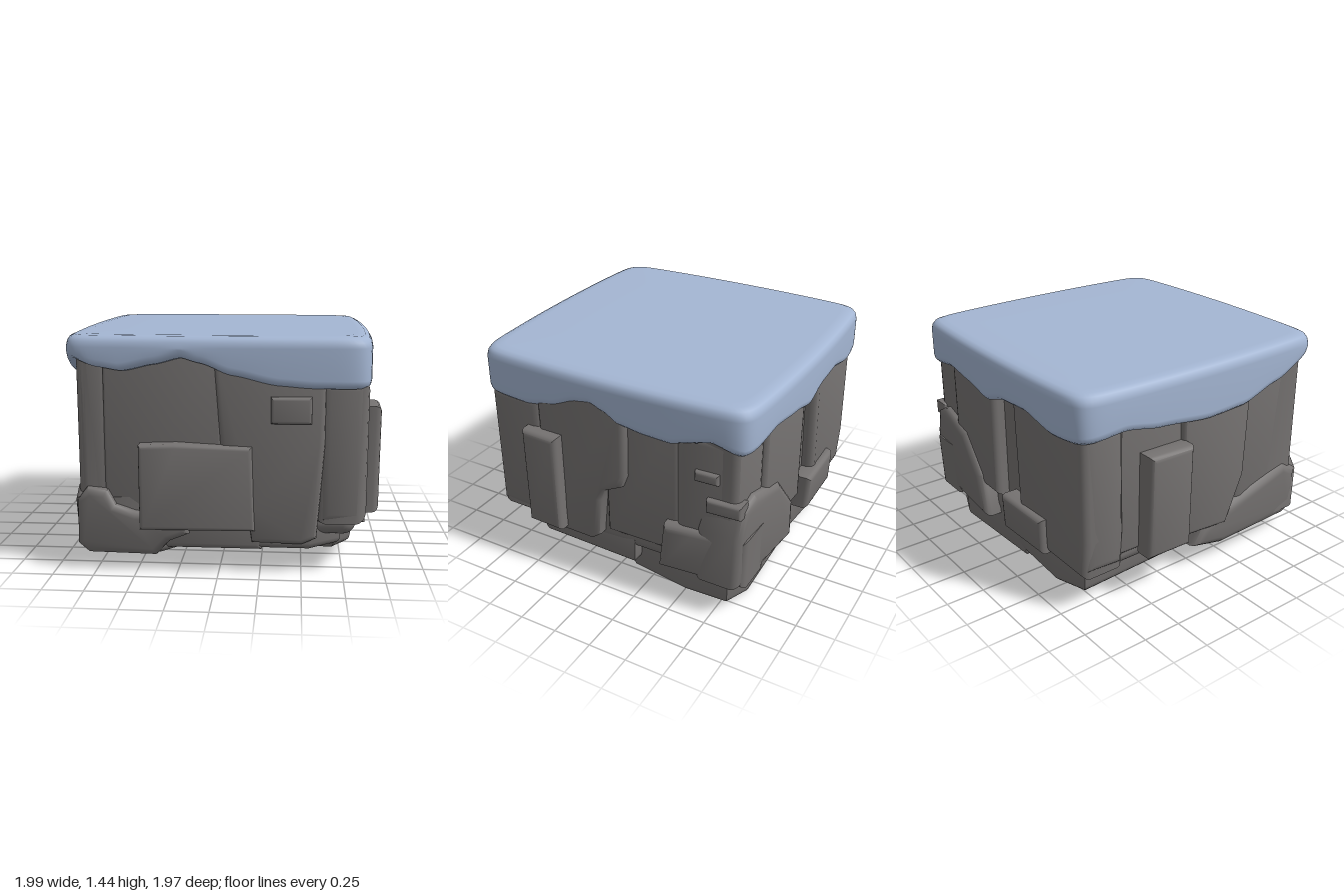
import * as THREE from 'three';
import { toCreasedNormals } from 'three/addons/utils/BufferGeometryUtils.js';
import { RoundedBoxGeometry } from 'three/addons/geometries/RoundedBoxGeometry.js';

const rock = new THREE.MeshStandardMaterial({ color: 0x757271 });
rock.name = 'dark rock';
const snow = new THREE.MeshStandardMaterial({ color: 0xa4b6d3 });
snow.name = 'pale blue snow';

// Each side: turn of the slab and sign of its horizontal axis
const SIDES = {
  front: { rot: [0, 0, 0], sign: 1 },
  right: { rot: [0, Math.PI / 2, 0], sign: -1 },
  back: { rot: [0, Math.PI, 0], sign: -1 },
  left: { rot: [0, -Math.PI / 2, 0], sign: 1 },
  bottom: { rot: [Math.PI / 2, 0, 0], sign: 1 },
};

const rect = (a, b, y0, y1) => [[a, y0], [b, y0], [b, y1], [a, y1]];

// Bevelled stone plate whose outer face lies at distance `outer` from the centre
function slab(name, side, pts, outer, { depth = 0.3, bevel = 0.035, tilt = 0 } = {}) {
  const { rot, sign } = SIDES[side];
  const shape = new THREE.Shape(pts.map(([a, b]) => new THREE.Vector2(a * sign, b)));
  const inner = depth - 2 * bevel;
  let geo = new THREE.ExtrudeGeometry(shape, {
    depth: inner, bevelEnabled: true, bevelSize: bevel, bevelOffset: -bevel,
    bevelThickness: bevel, bevelSegments: 3,
  });
  geo.translate(0, 0, outer - inner - bevel);
  const p = geo.attributes.position;
  // Walls bow gently and draw in towards the foot
  for (let i = 0; i < p.count; i++) {
    const u = p.getX(i), v = p.getY(i);
    const bow = side === 'bottom' ? 0 : 0.04 * u * u + 0.08 * Math.max(0, 0.4 - v);
    p.setZ(i, p.getZ(i) - bow + tilt * u);
  }
  geo = toCreasedNormals(geo, 0.7);
  const mesh = new THREE.Mesh(geo, rock);
  mesh.rotation.set(...rot);
  mesh.name = name;
  return mesh;
}

// Lower rim of the snow: x, z, height, in order around the block
const RIM = [
  [0.93, 0, 1.22], [0.93, 0.1, 1.255], [0.93, 0.2, 1.24], [0.93, 0.4, 1.165], [0.93, 0.6, 1.125],
  [0.9, 0.9, 1.13], [0.6, 0.94, 1.135], [0.4, 0.94, 1.15], [0.1, 0.94, 1.21], [-0.1, 0.94, 1.28],
  [-0.22, 0.94, 1.31], [-0.4, 0.94, 1.27], [-0.6, 0.94, 1.23], [-0.75, 0.94, 1.25], [-0.9, 0.9, 1.3],
  [-0.95, 0.6, 1.18], [-0.95, 0.3, 1.1], [-0.95, 0, 1.09], [-0.95, -0.4, 1.13], [-0.95, -0.65, 1.17],
  [-0.9, -0.9, 1.14], [-0.7, -0.98, 1.13], [-0.4, -0.98, 1.19], [-0.15, -0.98, 1.18], [0.08, -0.98, 1.12],
  [0.3, -0.98, 1.16], [0.6, -0.98, 1.19], [0.9, -0.9, 1.14], [0.93, -0.72, 1.2], [0.93, -0.6, 1.17],
  [0.93, -0.45, 1.13], [0.93, -0.28, 1.14], [0.93, -0.1, 1.165],
].map(([x, z, y]) => [(Math.atan2(z, x) + 2 * Math.PI) % (2 * Math.PI), y]);

function rimHeight(angle) {
  let k = RIM.length - 1;
  while (k > 0 && RIM[k][0] > angle) k--;
  const [a0, y0] = RIM[k];
  const last = k === RIM.length - 1;
  const a1 = last ? 2 * Math.PI : RIM[k + 1][0];
  const y1 = last ? RIM[0][1] : RIM[k + 1][1];
  const t = (angle - a0) / (a1 - a0);
  return y0 + (y1 - y0) * (0.5 * t + 0.5 * t * t * (3 - 2 * t));
}

// Snow cap: bowed square rings from the top centre down over the wavy rim
function snowCap() {
  const n = 320, power = 18;
  const rings = [
    [1, () => 1.44], [0.5, () => 1.44], [0.1, () => 1.44], [0.05, () => 1.436], [0.022, () => 1.424],
    [0.007, () => 1.402], [0, () => 1.37], [0, (w) => w + 0.05], [0.006, (w) => w + 0.02],
    [0.022, (w) => w + 0.004], [0.045, (w) => w], [0.2, (w) => w + 0.03],
  ];
  const pos = [], idx = [];
  rings.forEach(([inset, height], r) => {
    for (let i = 0; i < n; i++) {
      const a = (i / n) * Math.PI * 2, c = Math.cos(a), s = Math.sin(a);
      const rad = Math.pow(Math.abs(c) ** power + Math.abs(s) ** power, -1 / power);
      const x = rad * c, z = rad * s, k = 1 - inset;
      pos.push(-0.012 + 0.943 * k * x * (1 - 0.04 * z * z), height(rimHeight(a)),
        -0.022 + 0.963 * k * z * (1 - 0.04 * x * x));
      if (r < rings.length - 1) {
        const j = (i + 1) % n, A = r * n + i, B = r * n + j, C = A + n, D = B + n;
        idx.push(A, B, C, B, D, C);
      }
    }
  });
  const geo = new THREE.BufferGeometry();
  geo.setAttribute('position', new THREE.Float32BufferAttribute(pos, 3));
  geo.setIndex(idx);
  geo.computeVertexNormals();
  const mesh = new THREE.Mesh(geo, snow);
  mesh.name = 'snowCap';
  return mesh;
}

export function createModel() {
  const model = new THREE.Group();
  model.name = 'snowyRockBlock';

  const core = new THREE.Mesh(new RoundedBoxGeometry(1.66, 1.13, 1.68, 4, 0.08), rock);
  core.name = 'rockCore';
  core.position.set(0, 0.785, -0.02);
  model.add(core, snowCap());

  const small = { depth: 0.12, bevel: 0.02 };
  model.add(
    // Front wall
    slab('frontCornerStrip', 'front', rect(-0.86, -0.66, 0.3, 1.33), 0.885, { bevel: 0.05 }),
    slab('frontWallPlate', 'front', rect(-0.69, 0.02, 0.3, 1.34), 0.9, { bevel: 0.02 }),
    slab('frontTallPlate', 'front',
      [[-0.03, 1.3], [0.01, 0.8], [0.17, 0.4], [0.2, 0.19], [0.5, 0.18], [0.59, 0.22], [0.63, 0.8], [0.63, 1.3]], 0.915),
    slab('frontCornerBlock', 'front', rect(0.6, 0.88, 0.31, 1.18), 0.89, { bevel: 0.06 }),
    slab('frontPanel', 'front', [[-0.47, 0.28], [0.22, 0.27], [0.2, 0.79], [-0.25, 0.81], [-0.47, 0.8]],
      0.955, { tilt: -0.08, bevel: 0.025 }),
    slab('frontStud', 'front', rect(0.31, 0.55, 0.93, 1.09), 0.945, small),
    slab('frontLowStone', 'front', rect(-0.35, 0.26, 0.13, 0.35), 0.87),
    slab('cornerBoulder', 'front',
      [[-0.87, 0.16], [-0.8, 0.1], [-0.38, 0.1], [-0.3, 0.19], [-0.18, 0.24], [-0.18, 0.36], [-0.5, 0.38],
        [-0.62, 0.42], [-0.67, 0.51], [-0.8, 0.52], [-0.86, 0.44]], 0.94, { bevel: 0.045, depth: 0.5 }),

    // Right wall
    slab('rightCornerStrip', 'right', rect(0.46, 0.86, 0.31, 1.18), 0.915, { bevel: 0.06 }),
    slab('rightStepPlate', 'right',
      [[0.48, 1.3], [-0.16, 1.3], [-0.15, 0.8], [-0.12, 0.72], [0, 0.66], [0.03, 0.58], [0.06, 0.3],
        [0.12, 0.25], [0.44, 0.25], [0.48, 0.32]], 0.92),
    slab('rightWallPlate', 'right', rect(-0.5, 0.02, 0.33, 1.3), 0.87),
    slab('rightBackPlate', 'right', rect(-0.88, -0.48, 0.4, 1.22), 0.895, { bevel: 0.06 }),
    slab('rightPanel', 'right', rect(0.3, 0.56, 0.3, 0.98), 1.0, { depth: 0.15 }),
    slab('rightBackBlock', 'right',
      [[-0.38, 0.24], [-0.94, 0.22], [-0.95, 0.58], [-0.6, 0.58], [-0.42, 0.57]],
      0.975, { bevel: 0.045, tilt: -0.07 }),
    slab('rightUpperStud', 'right', rect(-0.77, -0.62, 0.93, 1.0), 0.925, small),
    slab('rightLowerStud', 'right', rect(-0.92, -0.7, 0.74, 0.83), 0.935, small),

    // Back wall
    slab('backBoulder', 'back',
      [[0.9, 0.23], [0.9, 0.6], [0.85, 0.78], [0.72, 0.83], [0.42, 0.76], [0.22, 0.52], [0.18, 0.22]],
      0.99, { bevel: 0.05, tilt: 0.03 }),
    slab('backTallPlate', 'back', rect(0.04, 0.58, 0.44, 1.3), 0.95, { bevel: 0.045 }),
    slab('backCornerStrip', 'back', rect(0.55, 0.87, 0.4, 1.22), 0.92, { bevel: 0.05 }),
    slab('backWallPlate', 'back', [[-0.17, 1.3], [-0.2, 0.5], [-0.27, 0.28], [-0.85, 0.24], [-0.88, 0.5], [-0.87, 1.2]],
      0.94, { bevel: 0.05 }),
    slab('backStud', 'back', rect(-0.5, -0.06, 0.27, 0.51), 0.985, { depth: 0.15 }),

    // Left wall
    slab('leftCornerStrip', 'left', rect(-0.89, -0.62, 0.28, 1.2), 0.91, { bevel: 0.06 }),
    slab('leftWallPlate', 'left', rect(-0.66, -0.16, 0.32, 1.3), 0.88),
    slab('leftPanel', 'left', rect(-0.5, -0.18, 0.3, 0.98), 1.0, { depth: 0.15 }),
    slab('leftMidPlate', 'left', [[-0.2, 1.3], [-0.18, 0.3], [0.2, 0.27], [0.33, 0.6], [0.36, 1.3]], 0.92),
    slab('leftFrontPlate', 'left', rect(0.3, 0.86, 0.3, 1.3), 0.88, { bevel: 0.05 }),
    slab('leftBoulder', 'left',
      [[-0.05, 0.16], [0.02, 0.3], [0.45, 0.46], [0.75, 0.53], [0.88, 0.46], [0.89, 0.14], [0.8, 0.1], [0.2, 0.1]],
      0.91, { bevel: 0.06, depth: 0.5 }),

    // Foot stones, each at its own depth
    slab('footStoneBackLeft', 'bottom',
      [[-0.13, -0.13], [0.3, -0.07], [0.74, -0.1], [0.8, -0.5], [0.79, -0.8], [0.62, -0.87], [-0.1, -0.84]],
      0, { depth: 0.34, bevel: 0.05 }),
    slab('footStoneBackRight', 'bottom',
      [[-0.72, -0.8], [-0.68, 0.1], [-0.5, 0.26], [0, 0.24], [0.02, -0.84], [-0.5, -0.87]],
      -0.04, { depth: 0.3, bevel: 0.05 }),
    slab('footStoneFrontLeft', 'bottom',
      [[0, 0.66], [0.7, 0.7], [0.81, 0.55], [0.83, -0.16], [0, -0.18]], -0.1, { depth: 0.28, bevel: 0.05 }),
    slab('footStoneFrontRight', 'bottom',
      [[-0.84, 0.18], [-0.84, 0.82], [-0.72, 0.89], [-0.35, 0.87], [-0.2, 0.7], [-0.2, 0.2]],
      -0.1, { depth: 0.28, bevel: 0.05 }),
    slab('footStoneFront', 'bottom',
      [[-0.33, 0.2], [-0.33, 0.84], [0.55, 0.85], [0.74, 0.7], [0.74, 0.2]], -0.14, { depth: 0.25, bevel: 0.04 }),
  );
  return model;
}
